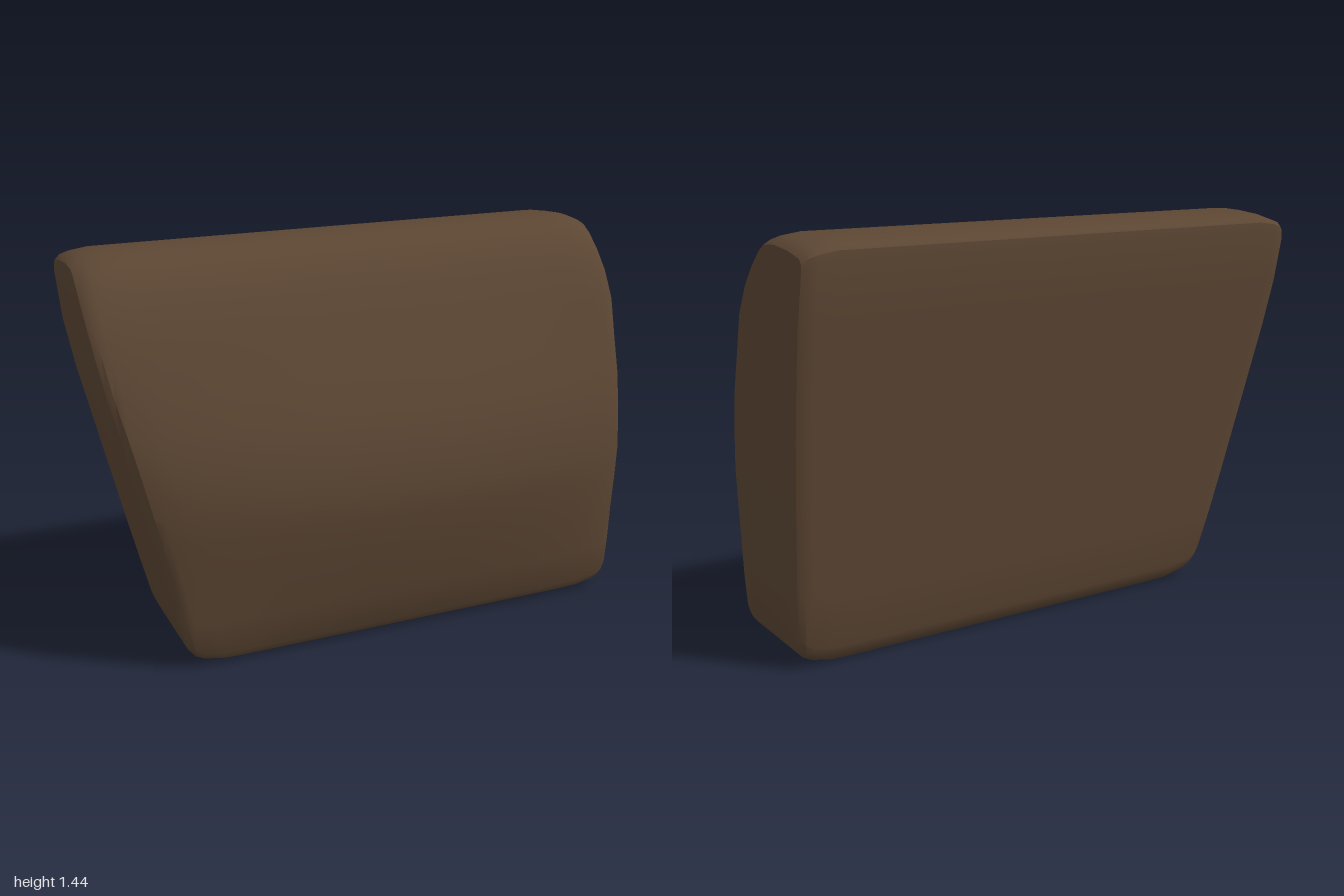
import * as THREE from 'three';
import { toCreasedNormals } from 'three/addons/utils/BufferGeometryUtils.js';

// Piecewise-linear lookup through [key, value] pairs.
function lookup(table, k) {
  if (k <= table[0][0]) return table[0][1];
  for (let i = 1; i < table.length; i++) {
    const [k0, v0] = table[i - 1], [k1, v1] = table[i];
    if (k <= k1) return v0 + (v1 - v0) * (k - k0) / (k1 - k0);
  }
  return table[table.length - 1][1];
}

// Side profile as [z, y]: along the bottom, up the bulging front, over the top.
const PROFILE = [
  [-0.17, 0], [0.02, 0], [0.21, 0], [0.235, 0.015], [0.255, 0.045], [0.29, 0.18], [0.33, 0.36],
  [0.35, 0.5], [0.355, 0.6], [0.335, 0.75], [0.295, 0.88], [0.235, 1.01], [0.165, 1.16],
  [0.11, 1.275], [0.055, 1.355], [0, 1.41], [-0.07, 1.436], [-0.15, 1.441], [-0.25, 1.432],
  [-0.335, 1.415], [-0.35, 1.4], [-0.352, 1.37],
];
// Straight, leaning back face, then the rounded lower back edge.
for (let i = 1; i <= 7; i++) PROFILE.push([-0.352 + 0.142 * i / 7, 1.37 - 1.31 * i / 7]);
PROFILE.push([-0.195, 0.02]);

// Outline of the two sides by height.
const SIDE_NEG = [[0, -0.725], [0.06, -0.735], [0.1, -0.752], [0.3, -0.8], [0.5, -0.845], [0.8, -0.912],
  [1.0, -0.957], [1.1, -0.977], [1.2, -0.991], [1.3, -1], [1.45, -1]];
const SIDE_POS = [[0, 0.972], [0.06, 0.976], [0.2, 0.986], [0.6, 0.997], [0.9, 1], [1.2, 0.996], [1.45, 0.982]];

// Rounding by distance from a side: front fall-off, lift of the bottom, drop of the top, edge inset.
const FALL = [[0, 0.095], [0.02, 0.075], [0.06, 0.063], [0.2, 0.04], [0.4, 0.02], [0.7, 0]];
const LIFT = [[0, 0.06], [0.02, 0.032], [0.05, 0.017], [0.13, 0]];
const DROP = [[0, 0.036], [0.02, 0.02], [0.05, 0.01], [0.12, 0]];
const INSET = [[0, 0.014], [0.02, 0.002], [0.05, 0]];

// One cross-section, d from the given side, scaled by s about its middle for the side faces.
function section(sides, sign, d, s) {
  return PROFILE.map(([z0, y0]) => {
    const front = z0 > 0 ? 1 : 0;
    const u = THREE.MathUtils.clamp((y0 - 0.03) / 1.15, 0, 1);
    let z = z0 - front * lookup(FALL, d) * Math.sin(Math.PI * u);
    z -= Math.sign(z0 + 0.02) * lookup(INSET, d);
    let y = y0 + lookup(LIFT, d) * Math.max(0, 1 - y0 / 0.3)
      - lookup(DROP, d) * THREE.MathUtils.smoothstep(y0, 1.05, 1.4);
    z = 0.01 + (z - 0.01) * s;
    y = 0.7 + (y - 0.7) * s;
    return [lookup(sides, y) + sign * d, y, z];
  });
}

function cushionGeometry() {
  // Side-face rings grow outwards, then the body runs from side to side.
  const steps = [[0, 0], [0, 0.35], [0, 0.7], [0, 1], [0.02, 1], [0.05, 1], [0.12, 1],
    [0.2, 1], [0.4, 1], [0.7, 1]];
  const rings = [
    ...steps.map(([d, s]) => section(SIDE_NEG, 1, d, s)),
    ...[...steps].reverse().map(([d, s]) => section(SIDE_POS, -1, d, s)),
  ];
  const n = PROFILE.length, last = rings.length - 1, index = [];
  for (let i = 0; i < last; i++) {
    for (let j = 0; j < n; j++) {
      const k = (j + 1) % n;
      const a = i * n + j, b = a + n, c = (i + 1) * n + k, e = i * n + k;
      if (i < last - 1) index.push(a, b, c);
      if (i > 0) index.push(a, c, e);
      // The end fans meet in a point, so each needs one triangle per edge.
    }
  }
  const geometry = new THREE.BufferGeometry();
  geometry.setAttribute('position', new THREE.Float32BufferAttribute(rings.flat(2), 3));
  geometry.setIndex(index);
  return toCreasedNormals(geometry, 0.65);
}

export function createModel() {
  const group = new THREE.Group();
  group.name = 'cushion';
  const material = new THREE.MeshStandardMaterial({ color: 0x5c4633 });
  const body = new THREE.Mesh(cushionGeometry(), material);
  body.name = 'cushionBody';
  group.add(body);
  return group;
}
